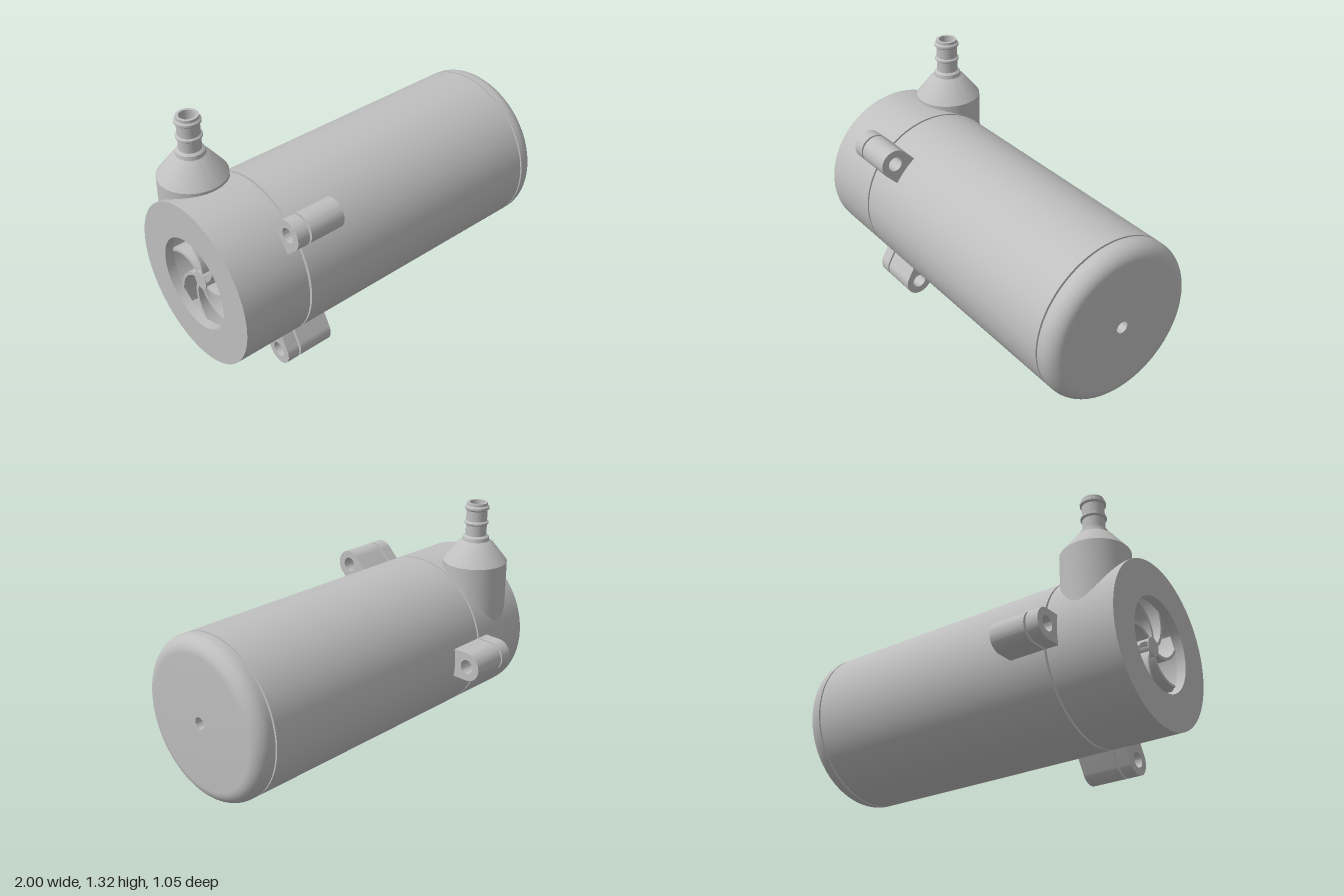
import * as THREE from 'three';
import { toCreasedNormals } from 'three/addons/utils/BufferGeometryUtils.js';

const AXIS_Y = 0.53, AXIS_Z = 0.08, RADIUS = 0.44;

export function createModel() {
  const model = new THREE.Group();
  model.name = 'pump';
  const grey = new THREE.MeshStandardMaterial({ color: 0xbfbfbf });
  grey.name = 'grey';

  const add = (parent, name, geometry) => {
    const mesh = new THREE.Mesh(toCreasedNormals(geometry, 0.5), grey);
    mesh.name = name;
    parent.add(mesh);
    return mesh;
  };
  const lathe = (points, segments = 96) =>
    new THREE.LatheGeometry(points.map(([r, h]) => new THREE.Vector2(r, h)), segments);

  // Everything in this group is placed around the long axis
  const body = new THREE.Group();
  body.name = 'body';
  body.position.set(0, AXIS_Y, AXIS_Z);
  model.add(body);
  const turned = (name, points) => {
    add(body, name, lathe(points)).rotation.z = -Math.PI / 2;
  };

  // Pump housing with an open inlet and a hollow chamber
  turned('pumpHousing', [
    [0, -0.74], [0.34, -0.74], [0.34, -0.95], [0.25, -0.95], [0.25, -1],
    [RADIUS, -1], [RADIUS, -0.621], [0, -0.621],
  ]);

  // Motor housing with the narrow neck that carries the end cap
  turned('motorHousing', [
    [0, -0.609], [RADIUS, -0.609], [RADIUS, 0.89], [0.37, 0.89], [0.37, 0.91],
  ]);

  // Rounded end cap with a shallow centre hole
  const cap = [[0.36, 0.9], [RADIUS, 0.9]];
  for (let i = 0; i <= 10; i++) {
    const a = (i / 10) * Math.PI / 2;
    cap.push([RADIUS - 0.08 + 0.08 * Math.cos(a), 0.92 + 0.08 * Math.sin(a)]);
  }
  cap.push([0.033, 1], [0.033, 0.94], [0, 0.94]);
  turned('endCap', cap);

  // Impeller: hub and swept blades
  turned('impellerHub', [[0, -0.96], [0.05, -0.96], [0.05, -0.73]]);
  const bladeCount = 7;
  for (let b = 0; b < bladeCount; b++) {
    const near = [], far = [];
    for (let i = 0; i <= 10; i++) {
      const t = i / 10, r = 0.04 + 0.28 * t;
      const a = (b / bladeCount) * Math.PI * 2 - 1.0 * t;
      const half = 0.009 / r;
      near.push(new THREE.Vector2(r * Math.cos(a - half), r * Math.sin(a - half)));
      far.unshift(new THREE.Vector2(r * Math.cos(a + half), r * Math.sin(a + half)));
    }
    const geometry = new THREE.ExtrudeGeometry(new THREE.Shape([...near, ...far]),
      { depth: 0.22, bevelEnabled: false });
    const blade = add(body, 'impellerBlade', geometry);
    blade.position.x = -0.955;
    blade.rotation.y = Math.PI / 2;
  }

  // Mounting lugs, split at the joint between the two housings
  const lug = new THREE.Shape();
  lug.moveTo(0.39, -0.08);
  lug.lineTo(0.52, -0.08);
  lug.absarc(0.52, 0, 0.08, -Math.PI / 2, Math.PI / 2, false);
  lug.lineTo(0.39, 0.08);
  lug.closePath();
  const hole = new THREE.Path();
  hole.absarc(0.52, 0, 0.04, 0, Math.PI * 2, true);
  lug.holes.push(hole);
  for (const degrees of [0, 135, 240]) {
    for (const [name, start, end] of [['pumpLug', -0.69, -0.621], ['motorLug', -0.609, -0.41]]) {
      const geometry = new THREE.ExtrudeGeometry(lug,
        { depth: end - start, bevelEnabled: false, curveSegments: 24 });
      const mesh = add(body, name, geometry);
      mesh.position.x = start;
      mesh.rotation.set(THREE.MathUtils.degToRad(degrees), Math.PI / 2, 0);
    }
  }

  // Outlet: round base, cone and barbed hose tube with a bore
  const outletZ = -0.16;
  const outlet = lathe([
    [0.18, 0], [0.18, 0.98], [0.1, 1.082], [0.088, 1.09], [0.076, 1.1], [0.072, 1.12],
    [0.058, 1.13], [0.058, 1.19], [0.067, 1.197], [0.067, 1.206], [0.058, 1.213],
    [0.058, 1.272], [0.067, 1.28], [0.067, 1.292], [0.058, 1.3], [0.057, 1.315],
    [0.042, 1.315], [0.042, 1.0], [0, 1.0],
  ], 64);
  // The lower rim follows the round housing, just below its surface
  const p = outlet.attributes.position;
  for (let i = 0; i < p.count; i++) {
    if (p.getY(i) > 0.5) continue;
    const dz = p.getZ(i) + outletZ - AXIS_Z;
    p.setY(i, AXIS_Y + Math.sqrt(Math.max(0, 0.43 ** 2 - dz * dz)));
  }
  add(model, 'outlet', outlet).position.set(-0.8, 0, outletZ);

  return model;
}
